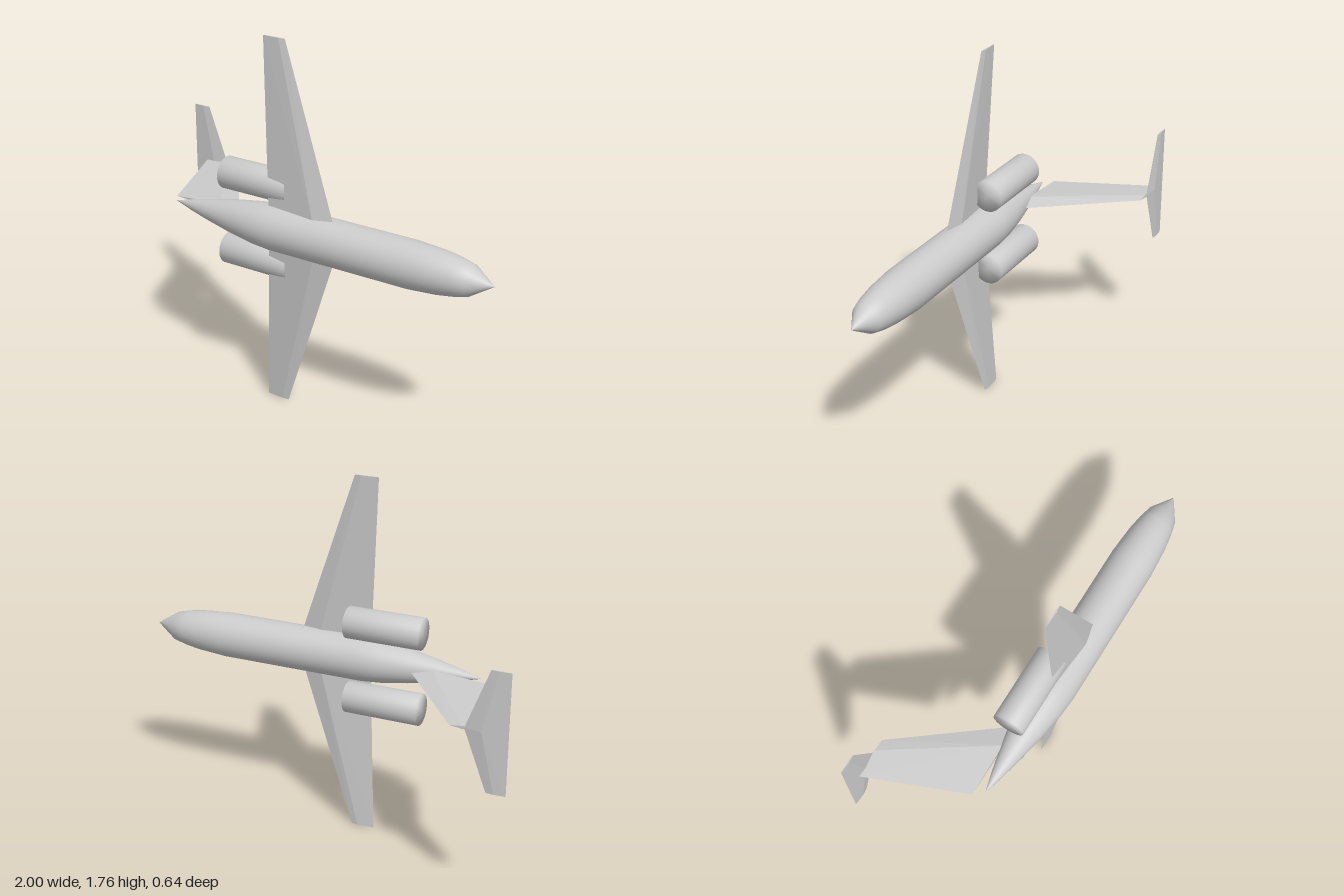
import * as THREE from 'three';
import { ConvexGeometry } from 'three/addons/geometries/ConvexGeometry.js';

const paint = new THREE.MeshStandardMaterial({ color: 0xcccccc });
paint.name = 'lightGrey';

const AXIS_Y = 0.883, AXIS_Z = 0.21;

// Body of revolution along x, from [x, radius] pairs running tail to nose
function revolve(name, profile, y, z, sides) {
  const points = profile.map(([x, r]) => new THREE.Vector2(r, x));
  const geometry = new THREE.LatheGeometry(points, sides).rotateZ(-Math.PI / 2);
  const mesh = new THREE.Mesh(geometry, paint);
  mesh.name = name;
  mesh.position.set(0, y, z);
  return mesh;
}

// Diamond section: leading edge, trailing edge, and a ridge on both sides
function section(lead, trail, ridge, half, place) {
  const ridgeX = lead + (trail - lead) * ridge;
  return [place(lead, 0), place(ridgeX, half), place(trail, 0), place(ridgeX, -half)];
}

function surface(name, root, tip) {
  const mesh = new THREE.Mesh(new ConvexGeometry([...root, ...tip]), paint);
  mesh.name = name;
  return mesh;
}

export function createModel() {
  const model = new THREE.Group();
  model.name = 'jetAircraft';

  // Fuselage with pointed nose and long tapered tail
  model.add(revolve('fuselage', [
    [-0.7, 0], [-0.6, 0.027], [-0.5, 0.05], [-0.35, 0.08], [-0.22, 0.1], [-0.12, 0.108],
    [0.6, 0.108], [0.74, 0.098], [0.82, 0.086], [0.885, 0.07], [0.995, 0],
  ], AXIS_Y, AXIS_Z, 32));

  for (const side of [1, -1]) {
    const label = side > 0 ? 'upper' : 'lower';
    // Section standing at a given span out from the fuselage
    const at = (span, z) => (x, t) => new THREE.Vector3(x, AXIS_Y + side * span, z + t);

    // Swept main wing
    model.add(surface(label + 'Wing',
      section(0.206, -0.147, 0.28, 0.021, at(0.09, 0.228)),
      section(-0.07, -0.186, 0.28, 0.005, at(0.882, 0.195))));

    // Half of the tailplane at the fin tip
    model.add(surface(label + 'Tailplane',
      section(-0.803, -1, 0.4, 0.01, at(0, -0.314)),
      section(-0.91, -1, 0.4, 0.004, at(0.283, -0.314))));

    // Engine nacelle with softly shaded ends
    model.add(revolve(label + 'Engine',
      [[-0.428, 0], [-0.428, 0.076], [-0.058, 0.076], [-0.058, 0]],
      AXIS_Y + side * 0.188, 0.165, 32));
  }

  // Swept tail fin
  const finAt = (z) => (x, t) => new THREE.Vector3(x, AXIS_Y + t, z);
  model.add(surface('tailFin',
    section(-0.365, -0.735, 0.3, 0.019, finAt(0.165)),
    section(-0.735, -0.93, 0.3, 0.007, finAt(-0.314))));

  return model;
}
